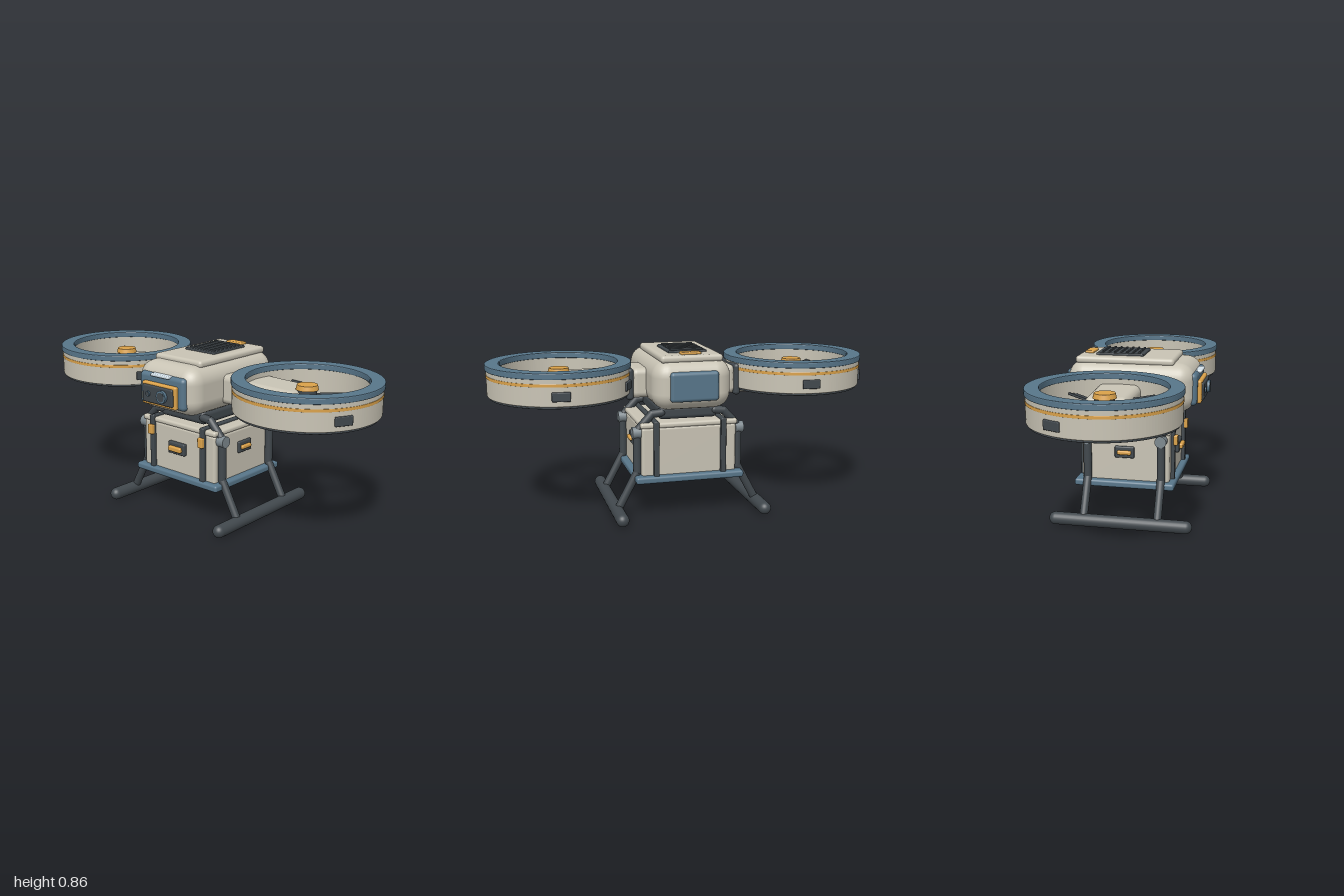
import * as THREE from 'three';
import { RoundedBoxGeometry } from 'three/addons/geometries/RoundedBoxGeometry.js';

const mat = (color) => new THREE.MeshStandardMaterial({ color });
const cream = mat(0xc9c4b5), blue = mat(0x58768a), dark = mat(0x41484d);
const orange = mat(0xdba24a), steel = mat(0x7d888e), light = mat(0xd5e2ea);

function add(parent, name, geometry, material, x = 0, y = 0, z = 0) {
  const mesh = new THREE.Mesh(geometry, material);
  mesh.name = name;
  mesh.position.set(x, y, z);
  parent.add(mesh);
  return mesh;
}

// Rounded box given by its lower and upper limits on each axis
function block(parent, name, material, [x0, x1], [y0, y1], [z0, z1], r = 0.008) {
  const g = new RoundedBoxGeometry(x1 - x0, y1 - y0, z1 - z0, 4, r);
  return add(parent, name, g, material, (x0 + x1) / 2, (y0 + y1) / 2, (z0 + z1) / 2);
}

// Straight round bar between two points
function rod(parent, name, material, a, b, r) {
  const p = new THREE.Vector3(...a), q = new THREE.Vector3(...b);
  const dir = q.clone().sub(p);
  const m = add(parent, name, new THREE.CylinderGeometry(r, r, dir.length(), 20), material);
  m.position.copy(p).add(q).multiplyScalar(0.5);
  m.quaternion.setFromUnitVectors(new THREE.Vector3(0, 1, 0), dir.normalize());
  return m;
}

// Closed ring of rectangular section with small bevels
function ring(parent, name, material, r0, r1, y0, y1, b) {
  const flat = [[r0 + b, y0], [r1 - b, y0], [r1, y0 + b], [r1, y1 - b],
    [r1 - b, y1], [r0 + b, y1], [r0, y1 - b], [r0, y0 + b]];
  const shape = new THREE.Shape().absarc(0, 0, r1 - b, 0, Math.PI * 2);
  shape.holes.push(new THREE.Path().absarc(0, 0, r0 + b, 0, Math.PI * 2, true));
  const g = new THREE.ExtrudeGeometry(shape, {
    depth: flat[3][1] - flat[2][1], bevelEnabled: true, bevelSize: b,
    bevelThickness: b, bevelSegments: 2, curveSegments: 72,
  });
  g.rotateX(-Math.PI / 2);
  return add(parent, name, g, material, 0, y0 + b, 0);
}

function buildHull(root) {
  const g = new THREE.Group();
  g.name = 'hull';
  root.add(g);
  block(g, 'hullShell', cream, [-0.203, 0.203], [0.565, 0.818], [-0.33, 0.33], 0.085);
  block(g, 'topCover', cream, [-0.16, 0.16], [0.803, 0.841], [-0.29, 0.225], 0.017);
  // Roof vent with slats and a release button
  block(g, 'ventPlate', dark, [-0.1, 0.1], [0.835, 0.852], [-0.193, 0.057], 0.005);
  for (let i = 0; i < 7; i++) {
    const z = 0.03 - i * 0.032;
    block(g, 'ventSlat', dark, [-0.085, 0.085], [0.848, 0.86], [z - 0.005, z + 0.005], 0.003);
  }
  block(g, 'topButton', orange, [-0.052, 0.052], [0.838, 0.853], [-0.265, -0.217], 0.006);
  // Camera face
  block(g, 'facePanel', blue, [-0.155, 0.155], [0.603, 0.77], [0.29, 0.342], 0.022);
  block(g, 'statusLight', light, [-0.062, 0.062], [0.757, 0.773], [0.32, 0.355], 0.006);
  block(g, 'cameraFrame', orange, [-0.118, 0.118], [0.61, 0.728], [0.335, 0.362], 0.01);
  block(g, 'cameraPlate', dark, [-0.104, 0.104], [0.624, 0.715], [0.345, 0.373], 0.008);
  for (const [x, r, z] of [[0.04, 0.032, 0.388], [-0.06, 0.014, 0.38]]) {
    rod(g, 'lensBarrel', blue, [x, 0.671, 0.36], [x, 0.671, z], r);
    rod(g, 'lensGlass', dark, [x, 0.671, 0.37], [x, 0.671, z + 0.001], r * 0.75);
  }
  // Rear hatch
  block(g, 'rearPanel', blue, [-0.125, 0.125], [0.615, 0.765], [-0.345, -0.3], 0.018);
  // Cargo mount beneath
  block(g, 'cargoMount', dark, [-0.155, 0.155], [0.503, 0.572], [-0.215, 0.195], 0.022);
}

function buildRotor(root, side) {
  const cx = side * 0.632, cz = -0.017;
  const g = new THREE.Group();
  g.name = 'ductedRotor';
  g.position.set(cx, 0, cz);
  root.add(g);
  ring(g, 'ductWall', cream, 0.304, 0.362, 0.632, 0.77, 0.006);
  ring(g, 'ductTopRing', blue, 0.298, 0.368, 0.764, 0.795, 0.005);
  ring(g, 'ductBottomRing', dark, 0.3, 0.352, 0.621, 0.638, 0.004);
  ring(g, 'ductStripe', orange, 0.35, 0.364, 0.728, 0.743, 0.001);
  // Dark pads spaced round the duct
  for (const deg of [28, 205, 275]) {
    const a = THREE.MathUtils.degToRad(deg);
    const pad = add(g, 'ductPad', new RoundedBoxGeometry(0.022, 0.046, 0.09, 3, 0.005), dark,
      Math.cos(a) * 0.359, 0.682, Math.sin(a) * 0.359);
    pad.rotation.y = -a;
  }
  // Four pitched blades above four thin stays
  for (let i = 0; i < 4; i++) {
    const spoke = new THREE.Group();
    spoke.name = 'spoke';
    spoke.rotation.y = Math.PI / 4 + i * Math.PI / 2;
    g.add(spoke);
    const blade = add(spoke, 'blade', new RoundedBoxGeometry(0.26, 0.012, 0.062, 3, 0.005), dark, 0.165, 0.7, 0);
    blade.rotation.x = 0.25;
    rod(spoke, 'stay', dark, [0.03, 0.645, 0], [0.315, 0.645, 0], 0.009);
  }
  add(g, 'motor', new THREE.CylinderGeometry(0.048, 0.048, 0.125, 32), dark, 0, 0.677, 0);
  add(g, 'hubCap', new THREE.CylinderGeometry(0.05, 0.056, 0.024, 32), orange, 0, 0.75, 0);

  // Arm from hull to hub, narrowing slightly outward
  const arm = new RoundedBoxGeometry(0.46, 0.135, 0.22, 6, 0.035);
  const p = arm.attributes.position;
  for (let i = 0; i < p.count; i++) {
    const t = (p.getX(i) * side + 0.23) / 0.46;
    p.setZ(i, p.getZ(i) * (1.04 - 0.1 * t));
    p.setY(i, p.getY(i) * (1.04 - 0.1 * t));
  }
  arm.computeVertexNormals();
  add(root, 'rotorArm', arm, cream, side * 0.395, 0.672, cz);
  block(root, 'armRoot', cream, side > 0 ? [0.15, 0.275] : [-0.275, -0.15], [0.605, 0.757], [-0.135, 0.1], 0.03);
  block(root, 'armCollar', dark, side > 0 ? [0.266, 0.304] : [-0.304, -0.266], [0.596, 0.762], [-0.14, 0.108], 0.018);
}

function buildCargo(root) {
  const g = new THREE.Group();
  g.name = 'cargoBox';
  root.add(g);
  block(g, 'boxBody', cream, [-0.25, 0.25], [0.21, 0.47], [-0.235, 0.22], 0.015);
  block(g, 'boxLid', cream, [-0.256, 0.256], [0.466, 0.494], [-0.242, 0.227], 0.012);
  block(g, 'tray', blue, [-0.285, 0.285], [0.185, 0.221], [-0.27, 0.25], 0.012);
  for (const s of [-1, 1]) {
    // Strap over the front, lid and back
    const x = s * 0.177, w = [x - 0.014, x + 0.014];
    block(g, 'strapFront', dark, w, [0.21, 0.505], [0.216, 0.24], 0.006);
    block(g, 'strapBack', dark, w, [0.21, 0.505], [-0.26, -0.232], 0.006);
    block(g, 'strapTop', dark, w, [0.485, 0.505], [-0.26, 0.24], 0.006);
    block(g, 'latch', orange, [x - 0.017, x + 0.017], [0.402, 0.455], [0.232, 0.254], 0.006);
    // Side handle
    block(g, 'sideHandlePlate', dark, s > 0 ? [0.24, 0.262] : [-0.262, -0.24], [0.34, 0.401], [-0.061, 0.041], 0.007);
    block(g, 'sideHandle', orange, s > 0 ? [0.255, 0.276] : [-0.276, -0.255], [0.359, 0.381], [-0.046, 0.027], 0.008);
  }
  block(g, 'frontHandlePlate', dark, [-0.058, 0.058], [0.325, 0.388], [0.21, 0.241], 0.007);
  block(g, 'frontHandle', orange, [-0.043, 0.043], [0.342, 0.37], [0.235, 0.258], 0.008);
}

function buildLandingGear(root, s) {
  const g = new THREE.Group();
  g.name = 'landingGear';
  root.add(g);
  for (const z of [0.182, -0.201]) {
    const path = [[0.14, 0.54], [0.19, 0.535], [0.268, 0.45], [0.268, 0.235], [0.375, 0.035]]
      .map(([x, y]) => [s * x, y, z]);
    for (let i = 0; i < path.length - 1; i++) {
      rod(g, 'legTube', dark, path[i], path[i + 1], 0.021);
      add(g, 'legElbow', new THREE.SphereGeometry(0.021, 16, 12), dark, ...path[i]);
    }
    rod(g, 'legPivot', steel, [s * 0.25, 0.442, z], [s * 0.294, 0.442, z], 0.03);
  }
  const skid = add(g, 'skid', new THREE.CapsuleGeometry(0.033, 0.674, 8, 24), dark, s * 0.375, 0.033, -0.01);
  skid.rotation.x = Math.PI / 2;
}

export function createModel() {
  const root = new THREE.Group();
  root.name = 'cargoDrone';
  buildHull(root);
  buildCargo(root);
  for (const s of [-1, 1]) {
    buildRotor(root, s);
    buildLandingGear(root, s);
  }
  return root;
}
